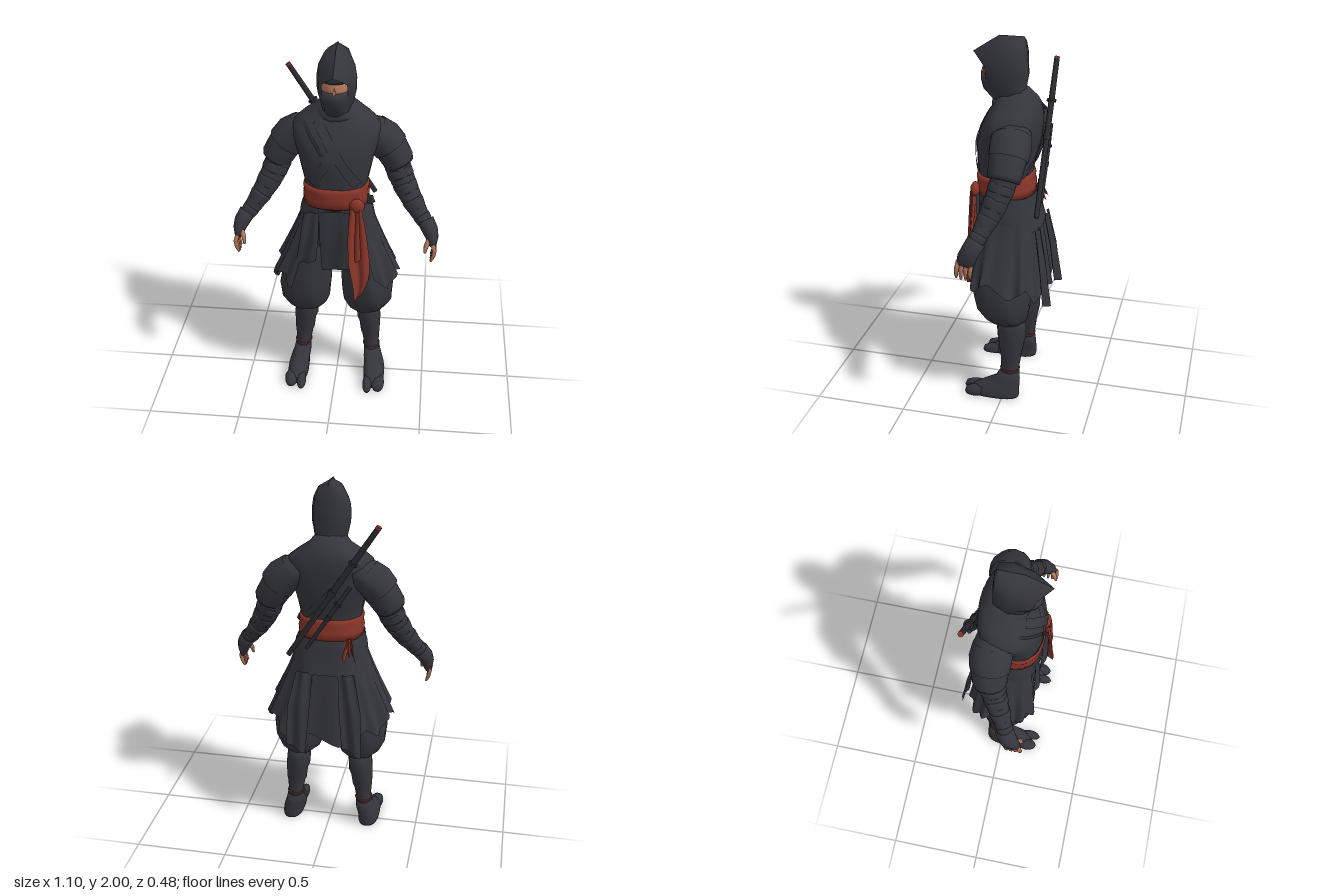
import * as THREE from 'three';

const material = (name, color) => {
  const m = new THREE.MeshStandardMaterial({ color, side: THREE.DoubleSide });
  m.name = name;
  return m;
};

// Height-ordered chest rings: x, y, z, half width, half depth
const TORSO = [
  [0, 1.73, -0.01, 0.07, 0.075], [0, 1.68, -0.025, 0.11, 0.105], [0, 1.635, -0.02, 0.175, 0.125],
  [0, 1.59, -0.01, 0.228, 0.14], [0, 1.53, 0.005, 0.228, 0.155], [0, 1.45, 0.02, 0.2, 0.163],
  [0, 1.35, 0.03, 0.178, 0.152], [0, 1.27, 0.035, 0.162, 0.14], [0, 1.15, 0.025, 0.168, 0.145],
];

// Grid of points f(u, v), u across and v down
function grid(f, nu, nv) {
  const pos = [], idx = [];
  for (let i = 0; i <= nv; i++) for (let j = 0; j <= nu; j++) pos.push(...f(j / nu, i / nv));
  for (let i = 0; i < nv; i++) for (let j = 0; j < nu; j++) {
    const a = i * (nu + 1) + j, c = a + nu + 1;
    idx.push(a, a + 1, c, a + 1, c + 1, c);
  }
  const g = new THREE.BufferGeometry();
  g.setAttribute('position', new THREE.Float32BufferAttribute(pos, 3));
  g.setIndex(idx);
  g.computeVertexNormals();
  return g;
}

// Skin over rings listed from top to bottom; follow = rings turn with the path
function loft(rings, { n = 18, power = 2, folds = 0, count = 7, follow = false, cap = true } = {}) {
  const pos = [], idx = [], C = rings.map(r => new THREE.Vector3(r[0], r[1], r[2]));
  const last = rings.length - 1;
  rings.forEach((r, i) => {
    const t = new THREE.Vector3(0, -1, 0);
    if (follow) t.subVectors(C[Math.min(i + 1, last)], C[Math.max(i - 1, 0)]).normalize();
    const u = new THREE.Vector3(0, 0, 1).cross(t).normalize(), v = t.clone().cross(u);
    for (let j = 0; j < n; j++) {
      const a = j / n * Math.PI * 2, co = Math.cos(a), si = Math.sin(a);
      const k = 1 + folds * Math.sin(count * a + i * 1.3);
      const p = C[i].clone()
        .addScaledVector(u, Math.sign(co) * Math.abs(co) ** (2 / power) * r[3] * k)
        .addScaledVector(v, Math.sign(si) * Math.abs(si) ** (2 / power) * (r[4] ?? r[3]) * k);
      pos.push(p.x, p.y, p.z);
    }
  });
  for (let i = 0; i < last; i++) for (let j = 0; j < n; j++) {
    const a = i * n + j, b = i * n + (j + 1) % n;
    idx.push(a, b, a + n, b, b + n, a + n);
  }
  if (cap) {
    const top = pos.length / 3;
    pos.push(...C[0].toArray(), ...C[last].toArray());
    for (let j = 0; j < n; j++) {
      const k = (j + 1) % n;
      idx.push(top, k, j, top + 1, last * n + j, last * n + k);
    }
  }
  const g = new THREE.BufferGeometry();
  g.setAttribute('position', new THREE.Float32BufferAttribute(pos, 3));
  g.setIndex(idx);
  g.computeVertexNormals();
  return g;
}

// Depth of the chest surface at x, y
function chestZ(x, y, side) {
  let i = 0;
  while (i < TORSO.length - 2 && TORSO[i + 1][1] > y) i++;
  const A = TORSO[i], B = TORSO[i + 1], t = THREE.MathUtils.clamp((A[1] - y) / (A[1] - B[1]), 0, 1);
  const [z, rx, rz] = [2, 3, 4].map(k => A[k] + (B[k] - A[k]) * t);
  return z + side * (rz * Math.max(0, 1 - Math.abs(x / rx) ** 2.4) ** (1 / 2.4) + 0.005);
}

export function createModel() {
  const model = new THREE.Group();
  const cloth = material('charcoal cloth', 0x35363d), dark = material('dark leather', 0x2a2b30);
  const red = material('red sash', 0x8a3529), skin = material('skin', 0xb2775d);
  const add = (name, geo, mat) => {
    const m = new THREE.Mesh(geo, mat);
    m.name = name;
    model.add(m);
    return m;
  };

  // Hood: half outline per level (back, back corner, side, front corner, front edge)
  const hood = [
    [2.00, [0, -0.06], [0, -0.05], [0, 0], [0, 0.04], [0, 0.07]],
    [1.965, [0, -0.07], [0.052, -0.06], [0.065, 0.01], [0.042, 0.08], [0, 0.125]],
    [1.91, [0, -0.075], [0.072, -0.065], [0.092, 0.015], [0.062, 0.11], [0, 0.208]],
    [1.85, [0, -0.08], [0.078, -0.065], [0.102, 0.02], [0.082, 0.115], [0.062, 0.135]],
    [1.79, [0, -0.082], [0.076, -0.068], [0.102, 0.015], [0.085, 0.105], [0.066, 0.125]],
    [1.73, [0, -0.07], [0.066, -0.055], [0.09, 0.01], [0.072, 0.085], [0.045, 0.11]],
    [1.66, [0, -0.08], [0.06, -0.07], [0.075, 0], [0.06, 0.07], [0.03, 0.085]],
  ];
  add('hood', grid((u, v) => {
    const L = hood[Math.round(v * 6)], k = Math.round((u - 0.5) * 8), p = L[1 + Math.abs(k)];
    return [Math.sign(k) * p[0], L[0], p[1]];
  }, 8, 6), cloth);
  const head = add('face', new THREE.SphereGeometry(1, 20, 14), skin);
  head.scale.set(0.08, 0.1, 0.1);
  head.position.set(0, 1.815, 0.055);
  const nose = add('nose', new THREE.ConeGeometry(0.012, 0.04, 6), skin);
  nose.position.set(0, 1.825, 0.156);
  add('faceMask', loft([[0, 1.81, 0.055, 0.084, 0.112], [0, 1.77, 0.055, 0.083, 0.112],
    [0, 1.72, 0.055, 0.066, 0.1], [0, 1.68, 0.035, 0.07, 0.075], [0, 1.63, 0, 0.09, 0.09]]), cloth);
  add('browBand', loft([[0, 1.90, 0.055, 0.062, 0.088], [0, 1.858, 0.055, 0.081, 0.105]]), cloth);

  // Jacket, collar, crossed lapels and straps
  add('jacket', loft(TORSO, { n: 28, power: 2.4, folds: 0.008, count: 9 }), cloth);
  add('scarf', loft([[0, 1.705, 0.005, 0.075, 0.08], [0, 1.685, 0, 0.1, 0.098], [0, 1.655, -0.01, 0.122, 0.118],
    [0, 1.625, -0.015, 0.12, 0.12]], { folds: 0.03, count: 5 }), cloth);
  const ribbon = (name, x0, y0, x1, y1, w, side, mat, lift = 0) => add(name, grid((u, v) => {
    const len = Math.hypot(x1 - x0, y1 - y0), o = (u - 0.5) * w;
    const x = x0 + (x1 - x0) * v - (y1 - y0) / len * o, y = y0 + (y1 - y0) * v + (x1 - x0) / len * o;
    return [x, y, chestZ(x, y, side) + side * lift];
  }, 3, 14), mat);
  ribbon('rightLapel', -0.09, 1.64, 0.12, 1.31, 0.05, 1, cloth, 0.003);
  ribbon('leftLapel', 0.09, 1.64, -0.12, 1.31, 0.05, 1, cloth);
  ribbon('chestStrap', -0.16, 1.62, -0.06, 1.48, 0.018, 1, dark, 0.002);
  ribbon('backStrap', -0.15, 1.6, 0.13, 1.28, 0.03, -1, cloth);

  // Sash with knot and hanging tails
  add('sash', loft([[0, 1.285, 0.035, 0.164, 0.146], [0, 1.262, 0.035, 0.174, 0.153], [0, 1.235, 0.034, 0.17, 0.149],
    [0, 1.21, 0.032, 0.176, 0.155], [0, 1.17, 0.028, 0.173, 0.152]], { n: 28, power: 2.4, folds: 0.008 }), red);
  const knot = add('sashKnot', new THREE.SphereGeometry(1, 10, 8), red);
  knot.scale.set(0.04, 0.04, 0.025);
  knot.position.set(0.12, 1.2, 0.175);
  const tail = (name, rows, mat, fold, twist = 0.04) => add(name, grid((u, v) => {
    const f = v * (rows.length - 1), i = Math.min(Math.floor(f), rows.length - 2), t = f - i;
    const [x, y, z, w] = rows[i].map((q, k) => q + (rows[i + 1][k] - q) * t);
    return [x + (u - 0.5) * w, y + (u - 0.5) * 0.04 * v, z + (u - 0.5) * twist * v + fold * Math.sin(u * 9 + v * 2)];
  }, 8, 10), mat);
  tail('longSashTail', [[0.115, 1.19, 0.185, 0.06], [0.122, 1.05, 0.195, 0.095], [0.135, 0.88, 0.205, 0.11],
    [0.15, 0.75, 0.205, 0.085], [0.14, 0.65, 0.2, 0.05]], red, 0.014, -0.04);
  tail('shortSashTail', [[0.11, 1.19, 0.18, 0.05], [0.105, 1.02, 0.188, 0.07], [0.11, 0.87, 0.195, 0.08]], red, 0.01);
  for (let i = 0; i < 3; i++)
    tail('backSashFringe', [[-0.12, 1.19, -0.115, 0.02], [-0.15 + i * 0.03, 1.09 + (i % 2) * 0.03, -0.148, 0.025]], red, 0.004);

  // Jacket hem, hips and pleated skirt open at the front
  add('jacketHem', loft([[0, 1.175, 0.02, 0.172, 0.15], [0, 1.12, 0.015, 0.192, 0.158], [0, 1.04, 0.01, 0.204, 0.168],
    [0, 0.99, 0.0, 0.212, 0.172]], { n: 28, power: 2.5, folds: 0.012, cap: false }), cloth);
  add('hips', loft([[0, 1.15, 0.02, 0.165, 0.135], [0, 1.0, 0.015, 0.18, 0.15], [0, 0.87, 0.01, 0.16, 0.14],
    [0, 0.81, 0.01, 0.07, 0.1]], { power: 2.4 }), cloth);
  add('skirt', grid((u, v) => {
    const a = 0.62 + u * (Math.PI * 2 - 1.24), si = Math.sin(a), co = Math.cos(a);
    const pleat = 1 + 0.045 * v * Math.sin(a * 16), back = Math.max(0, -co);
    const drop = 0.41 + 0.1 * back ** 2 + 0.035 * Math.sin(a * 8);
    const rx = (0.18 + 0.157 * v ** 1.15) * pleat, rz = (0.148 + 0.06 * v) * pleat;
    return [Math.sign(si) * Math.abs(si) ** 0.75 * rx, 1.12 - v * drop, 0.01 - 0.005 * v + Math.sign(co) * Math.abs(co) ** 0.68 * rz];
  }, 72, 6), cloth);
  tail('frontPanel', [[0.01, 1.16, 0.182, 0.18], [0.015, 1.0, 0.188, 0.18], [0.02, 0.81, 0.19, 0.17]], cloth, 0.005);
  tail('rightFrontPanel', [[-0.12, 1.14, 0.165, 0.08], [-0.13, 1.0, 0.175, 0.1], [-0.15, 0.84, 0.18, 0.11]], cloth, 0.007);
  tail('sideKnotFlap', [[0.17, 1.225, 0.09, 0.05], [0.185, 1.17, 0.09, 0.05]], cloth, 0.006);
  for (const x of [-0.14, 0.14])
    tail('backPanel', [[x * 0.8, 1.0, -0.165, 0.09], [x, 0.8, -0.2, 0.12], [x * 1.1, 0.56, -0.225, 0.11]], cloth, 0.01);

  for (const s of [1, -1]) {
    const side = s > 0 ? 'left' : 'right';
    const S = rows => rows.map(([x, ...r]) => [x * s, ...r]);

    // Arm: shoulder layer, short sleeve, wrapped forearm, glove
    add(side + 'Sleeve', loft(S([[0.13, 1.55, -0.03, 0.065, 0.095], [0.19, 1.525, -0.04, 0.085, 0.1], [0.24, 1.49, -0.045, 0.09, 0.1],
      [0.285, 1.425, -0.042, 0.088, 0.093], [0.322, 1.365, -0.036, 0.082, 0.088], [0.33, 1.35, -0.034, 0.073, 0.08]]),
      { follow: true, folds: 0.02 }), cloth);
    add(side + 'ShoulderLayer', loft(S([[0.19, 1.53, -0.04, 0.086, 0.104], [0.24, 1.492, -0.045, 0.096, 0.107],
      [0.275, 1.445, -0.042, 0.096, 0.102]]), { follow: true, folds: 0.015, cap: false }), cloth);
    const arm = [[0.3, 1.4, -0.04], [0.315, 1.34, -0.03], [0.345, 1.27, -0.01], [0.388, 1.19, 0.02], [0.442, 1.11, 0.055], [0.488, 1.05, 0.085]];
    const radii = [0.068, 0.069, 0.065, 0.057, 0.046, 0.037];
    add(side + 'Forearm', loft(S(arm.map((p, i) => [...p, radii[i]])), { follow: true, folds: 0.025, count: 5 }), cloth);
    for (let i = 1; i < 5; i++) {
      const q = t => [0, 1, 2].map(k => arm[i][k] + (arm[i + 1][k] - arm[i][k]) * t);
      add(side + 'ArmWrap', loft(S([[...q(0.2), radii[i] - 0.001], [...q(0.35), radii[i]], [...q(0.7), radii[i + 1] + 0.004],
        [...q(0.8), radii[i + 1]]]), { follow: true }), cloth);
    }
    add(side + 'Glove', loft(S([[0.475, 1.075, 0.07, 0.045, 0.05], [0.503, 1.03, 0.095, 0.042, 0.048], [0.515, 0.995, 0.11, 0.034, 0.05],
      [0.52, 0.955, 0.12, 0.02, 0.045]]), { follow: true }), cloth);
    for (let k = 0; k < 4; k++) {
      const z = 0.083 + k * 0.024, low = 0.875 + Math.abs(k - 1.5) * 0.008;
      add(side + 'Finger', loft(S([[0.52, 0.975, z, 0.012], [0.53, 0.94, z + 0.006, 0.012], [0.525, 0.91, z + 0.01, 0.011],
        [0.513, low - 0.008, z + 0.012, 0.006]]), { n: 7, follow: true }), skin);
    }
    add(side + 'Thumb', loft(S([[0.5, 1.0, 0.135, 0.014], [0.485, 0.965, 0.158, 0.013], [0.48, 0.93, 0.168, 0.007]]),
      { n: 7, follow: true }), skin);

    // Baggy trouser leg gathered below the knee
    add(side + 'TrouserLeg', loft(S([[0.09, 1.0, 0.01, 0.1, 0.13], [0.125, 0.85, 0.012, 0.115, 0.15], [0.162, 0.72, 0.015, 0.135, 0.16],
      [0.173, 0.62, 0.015, 0.142, 0.158], [0.173, 0.54, 0.01, 0.137, 0.145], [0.168, 0.48, -0.005, 0.11, 0.118],
      [0.168, 0.45, -0.02, 0.07, 0.08]]), { n: 28, folds: 0.02, count: 8 }), cloth);

    // Wrapped shin
    add(side + 'Shin', loft(S([[0.172, 0.48, -0.03, 0.063, 0.077], [0.176, 0.42, -0.035, 0.066, 0.082], [0.18, 0.36, -0.037, 0.067, 0.078],
      [0.186, 0.33, -0.037, 0.06, 0.072], [0.19, 0.26, -0.035, 0.055, 0.06], [0.193, 0.24, -0.035, 0.049, 0.057],
      [0.198, 0.17, -0.032, 0.042, 0.05], [0.203, 0.1, -0.03, 0.044, 0.056]]), { folds: 0.012 }), cloth);
    const cord = add(side + 'AnkleCord', new THREE.TorusGeometry(0.045, 0.004, 6, 18), red);
    cord.rotation.x = Math.PI / 2;
    cord.scale.y = 1.15;
    cord.position.set(s * 0.198, 0.168, -0.032);

    // Split-toed shoe
    add(side + 'Shoe', loft(S([[0.2, 0.15, -0.03, 0.045, 0.054], [0.206, 0.1, -0.018, 0.05, 0.07], [0.214, 0.07, 0.015, 0.054, 0.103],
      [0.22, 0.04, 0.045, 0.058, 0.132], [0.222, 0.012, 0.05, 0.06, 0.138], [0.222, 0, 0.05, 0.058, 0.136]]), { n: 22, power: 2.5 }), cloth);
    for (const [x, z, w] of [[0.19, 0.175, 0.026], [0.25, 0.16, 0.036]]) add(side + 'Toe', loft(S([[x, 0.05, z - 0.02, w * 0.5, 0.04],
      [x, 0.035, z - 0.005, w, 0.055], [x, 0.01, z, w, 0.058], [x, 0, z, w * 0.9, 0.055]]), { n: 14 }), cloth);
  }

  // Two sheathed blades slung across the back
  const blade = (name, x, y, z, length, r, endMat) => {
    const g = new THREE.Group();
    g.name = name;
    const part = (n, geo, mat, py) => {
      const m = new THREE.Mesh(geo, mat);
      m.name = n;
      m.position.y = py;
      g.add(m);
    };
    const grip = length * 0.27;
    part('scabbard', new THREE.CylinderGeometry(r, r * 0.85, length - grip, 8), dark, -grip - (length - grip) / 2);
    part('grip', new THREE.CylinderGeometry(r * 0.9, r, grip, 8), dark, -grip / 2);
    part('guard', new THREE.CylinderGeometry(r * 1.6, r * 1.6, 0.012, 10), dark, -grip);
    part('pommel', new THREE.CylinderGeometry(r * 0.92, r * 0.92, 0.012, 8), endMat, 0);
    part('scabbardBand', new THREE.CylinderGeometry(r * 1.25, r * 1.25, 0.03, 8), dark, -length * 0.5);
    g.position.set(x, y, z);
    g.rotation.z = 0.57;
    model.add(g);
  };
  blade('longSword', -0.27, 1.825, -0.172, 0.86, 0.016, red);
  blade('shortSword', -0.13, 1.5, -0.175, 0.42, 0.012, dark);
  return model;
}
